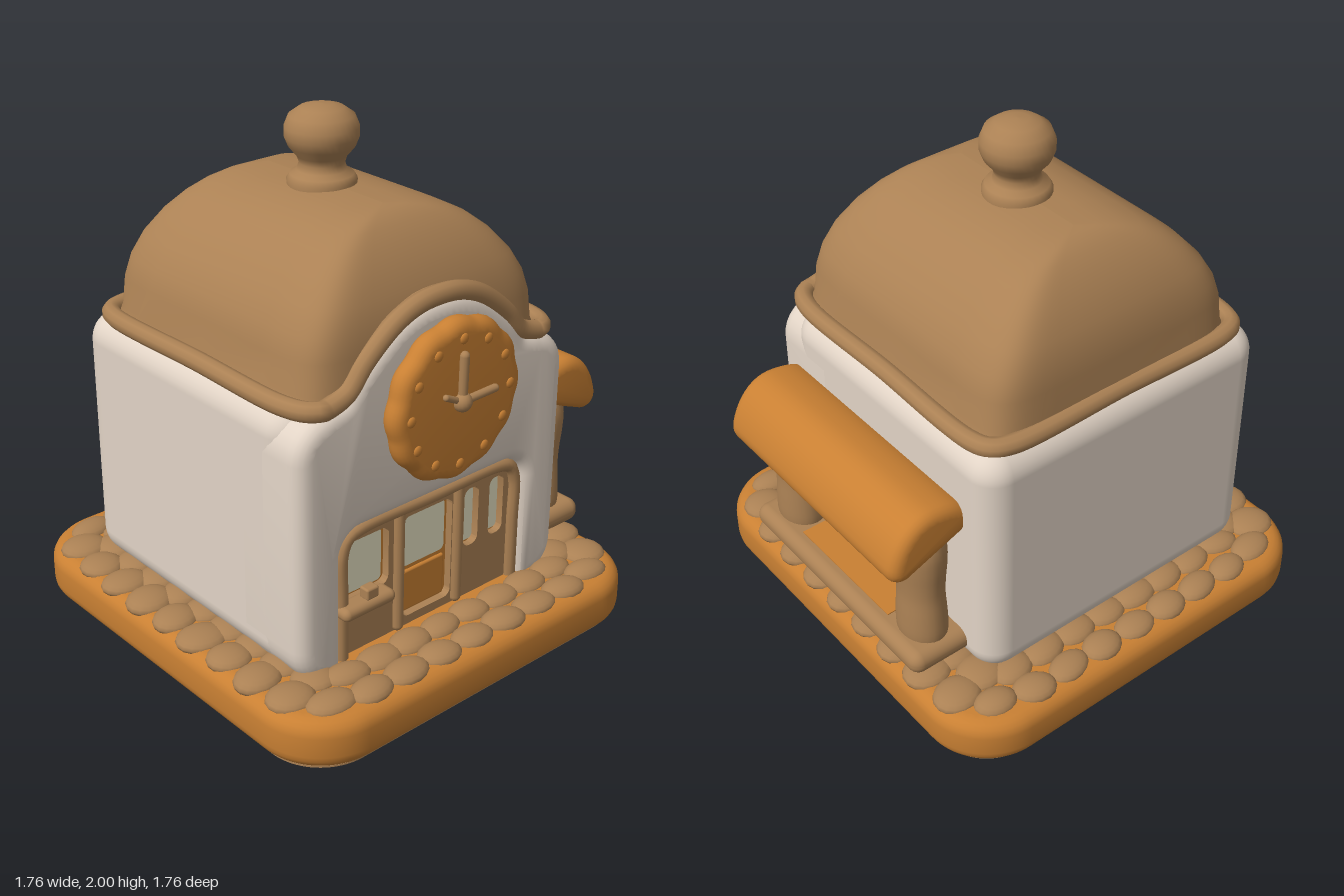
import * as THREE from 'three';
import { toCreasedNormals } from 'three/addons/utils/BufferGeometryUtils.js';
import { RoundedBoxGeometry } from 'three/addons/geometries/RoundedBoxGeometry.js';

const mat = (name, color) => new THREE.MeshStandardMaterial({ name, color });
const V = (x, y, z) => new THREE.Vector3(x, y, z);

// Rounded rectangle outline
function roundRect(x0, x1, y0, y1, r) {
  const s = new THREE.Shape();
  s.absarc(x1 - r, y0 + r, r, -Math.PI / 2, 0);
  s.absarc(x1 - r, y1 - r, r, 0, Math.PI / 2);
  s.absarc(x0 + r, y1 - r, r, Math.PI / 2, Math.PI);
  s.absarc(x0 + r, y0 + r, r, Math.PI, Math.PI * 1.5);
  s.closePath();
  return s;
}

// Extrusion between z0 and z1 with a round bevel growing outward
function extrude(shape, z0, z1, bevel = 0, curveSegments = 10) {
  const g = new THREE.ExtrudeGeometry(shape, {
    depth: z1 - z0 - 2 * bevel, bevelEnabled: bevel > 0, bevelSize: bevel,
    bevelThickness: bevel, bevelSegments: 5, curveSegments,
  });
  g.translate(0, 0, z0 + bevel);
  return toCreasedNormals(g, 0.7);
}

function box(x0, x1, y0, y1, z0, z1, r = 0) {
  const w = x1 - x0, h = y1 - y0, d = z1 - z0;
  const g = r ? new RoundedBoxGeometry(w, h, d, 5, r) : new THREE.BoxGeometry(w, h, d);
  return g.translate((x0 + x1) / 2, (y0 + y1) / 2, (z0 + z1) / 2);
}

// Round-ended bar between two points
function bar(a, b, r) {
  const dir = b.clone().sub(a);
  const g = new THREE.CapsuleGeometry(r, dir.length(), 5, 12);
  g.applyQuaternion(new THREE.Quaternion().setFromUnitVectors(V(0, 1, 0), dir.normalize()));
  const m = a.clone().add(b).multiplyScalar(0.5);
  return g.translate(m.x, m.y, m.z);
}

const tube = (pts, r, n, closed = false) =>
  new THREE.TubeGeometry(new THREE.CatmullRomCurve3(pts, closed), n, r, 10, closed);

// Loft of squarish rings [y, halfWidth, halfDepth]
function loft(rings, cx, cz, n = 72) {
  const pos = [], idx = [];
  const sq = (v) => Math.sign(v) * Math.pow(Math.abs(v), 0.25);
  for (const [y, a, b] of rings)
    for (let j = 0; j < n; j++) {
      const t = (j / n) * Math.PI * 2;
      pos.push(cx + a * sq(Math.cos(t)), y, cz + b * sq(Math.sin(t)));
    }
  for (let i = 0; i < rings.length - 1; i++)
    for (let j = 0; j < n; j++) {
      const k = (j + 1) % n, p = i * n, q = p + n;
      idx.push(p + j, q + j, p + k, q + j, q + k, p + k);
    }
  const g = new THREE.BufferGeometry();
  g.setAttribute('position', new THREE.Float32BufferAttribute(pos, 3));
  g.setIndex(idx);
  g.computeVertexNormals();
  return g;
}

export function createModel() {
  const root = new THREE.Group();
  root.name = 'clockHouse';
  const orange = mat('orange', 0xc98033), brown = mat('brown', 0xab8154);
  const wall = mat('plaster', 0xe2d4c6), glass = mat('paleGlass', 0xebe6c6);
  const add = (name, geo, m) => {
    const mesh = new THREE.Mesh(geo, m);
    mesh.name = name;
    root.add(mesh);
    return mesh;
  };
  const cx = -0.06;

  // Base slab with a brown underside
  const slab = extrude(roundRect(-0.82, 0.76, -0.82, 0.82, 0.2), 0.004, 0.2, 0.06);
  add('base', slab.rotateX(-Math.PI / 2), orange);
  const under = extrude(roundRect(-0.845, 0.785, -0.845, 0.845, 0.22), 0, 0.007);
  add('baseUnderside', under.rotateX(-Math.PI / 2), brown);

  // Cobbles in two rings, wider along x
  let seed = 7;
  const rand = () => (seed = (seed * 16807) % 2147483647) / 2147483647;
  for (const [inset, count] of [[0.1, 36], [0.22, 34]]) {
    const path = roundRect(-0.88 + inset, 0.82 - inset, -0.88 + inset, 0.88 - inset, 0.27 - inset);
    const pts = path.getSpacedPoints(count);
    for (let i = 0; i < count; i++) {
      const p = pts[i], q = pts[i + 1];
      const along = Math.abs(q.x - p.x) > Math.abs(q.y - p.y);
      const stone = add('cobble', new THREE.SphereGeometry(1, 16, 10), brown);
      stone.scale.set(0.085 + 0.015 * rand(), 0.035 + 0.006 * rand(), (along ? 0.062 : 0.08) + 0.008 * rand());
      stone.position.set((p.x + q.x) / 2, 0.195, (p.y + q.y) / 2);
      stone.rotation.y = (rand() - 0.5) * 0.5;
    }
  }

  // Walls
  add('walls', box(-0.7, 0.58, 0.18, 1.2, -0.66, 0.53, 0.11), wall);

  // Right half of the roof arch over the clock: [distance from centre, y]
  const arch = [[0.5, 1.2], [0.41, 1.23], [0.33, 1.32], [0.2, 1.42], [0.1, 1.46]];
  const archPts = [...arch, [0, 1.47], ...arch.map(([d, y]) => [-d, y]).reverse()];

  // Front wall with gable and doorway notch
  const f = new THREE.Shape();
  f.moveTo(0.44, 0.23);
  f.lineTo(0.47, 0.23);
  f.quadraticCurveTo(0.52, 0.24, 0.52, 0.31);
  f.lineTo(0.52, 1.03);
  f.quadraticCurveTo(0.52, 1.1, 0.45, 1.12);
  f.splineThru(archPts.map(([d, y]) => new THREE.Vector2(cx + d * 0.96, y - 0.07)));
  f.lineTo(-0.57, 1.12);
  f.quadraticCurveTo(-0.64, 1.1, -0.64, 1.03);
  f.lineTo(-0.64, 0.31);
  f.quadraticCurveTo(-0.64, 0.24, -0.59, 0.23);
  f.lineTo(-0.56, 0.23);
  f.lineTo(-0.56, 0.62);
  f.absarc(-0.41, 0.62, 0.15, Math.PI, Math.PI / 2, true);
  f.lineTo(0.29, 0.77);
  f.absarc(0.29, 0.62, 0.15, Math.PI / 2, 0, true);
  f.closePath();
  add('frontWall', extrude(f, 0.25, 0.61, 0.06, 6), wall);

  // Domed roof, arch hood, rolled eave
  add('roof', loft([
    [1.18, 0.585, 0.6], [1.23, 0.56, 0.592], [1.34, 0.548, 0.585], [1.42, 0.522, 0.573],
    [1.5, 0.475, 0.548], [1.58, 0.405, 0.505], [1.64, 0.33, 0.46], [1.68, 0.255, 0.42],
    [1.705, 0.17, 0.385], [1.717, 0.09, 0.35], [1.72, 0, 0.31],
  ], cx, -0.01), brown);
  const hood = new THREE.Shape();
  hood.moveTo(cx + 0.45, 1.19);
  hood.splineThru(archPts.slice(1, -1).map(([d, y]) => new THREE.Vector2(cx + d, y + 0.02)));
  hood.lineTo(cx - 0.45, 1.19);
  hood.closePath();
  add('clockHood', extrude(hood, 0.2, 0.575), brown);
  const hx = 0.585, zf = 0.58, zb = -0.6;
  const right = [
    [hx, 0], [hx, zf - 0.12], [hx - 0.03, zf - 0.03], [hx - 0.07, zf],
  ].map(([d, z]) => V(cx + d, 1.2, z));
  const back = [
    [-hx, 0], [-hx, zb + 0.1], [-hx + 0.03, zb + 0.03], [-hx + 0.1, zb], [0, zb],
    [hx - 0.1, zb], [hx - 0.03, zb + 0.03], [hx, zb + 0.1],
  ].map(([d, z]) => V(cx + d, 1.2, z));
  const left = right.slice(1).reverse().map((p) => V(2 * cx - p.x, p.y, p.z));
  const front = archPts.map(([d, y]) => V(cx + d, y, zf));
  add('eave', tube([...right, ...front, ...left, ...back], 0.036, 260, true), brown);

  // Roof knob
  const knob = [
    [0.125, 1.7], [0.127, 1.73], [0.115, 1.75], [0.09, 1.765], [0.082, 1.79], [0.09, 1.815],
    [0.12, 1.85], [0.134, 1.885], [0.134, 1.92], [0.118, 1.96], [0.08, 1.987], [0.04, 1.998], [0, 2],
  ].map(([r, y]) => new THREE.Vector2(r, y));
  add('roofKnob', new THREE.LatheGeometry(knob, 32).translate(cx, 0, -0.02), brown);

  // Clock with scalloped edge, low hour beads and hands
  const face = new THREE.Shape(Array.from({ length: 96 }, (_, i) => {
    const t = (i / 96) * Math.PI * 2, r = 0.253 + 0.005 * Math.cos(12 * t);
    return new THREE.Vector2(cx + r * Math.cos(t), 1.115 + r * Math.sin(t));
  }));
  add('clockFace', extrude(face, 0.615, 0.707, 0.044), orange);
  for (let i = 0; i < 12; i++) {
    const t = (i / 12) * Math.PI * 2;
    const bead = add('hourBead', new THREE.SphereGeometry(0.02, 12, 8), orange);
    bead.scale.z = 0.5;
    bead.position.set(cx + 0.235 * Math.cos(t), 1.115 + 0.235 * Math.sin(t), 0.706);
  }
  const hub = V(cx - 0.005, 1.12, 0.712);
  add('clockHub', new THREE.SphereGeometry(0.036, 16, 12).translate(hub.x, hub.y, hub.z), brown);
  add('minuteHand', bar(hub, V(cx - 0.003, 1.29, 0.715), 0.018), brown);
  add('hourHand', bar(hub, V(cx + 0.15, 1.125, 0.715), 0.015), brown);
  add('handTail', bar(hub, V(cx - 0.085, 1.16, 0.715), 0.012), brown);

  // Shop front
  add('shopBacking', box(-0.54, 0.42, 0.2, 0.74, 0.5, 0.54), orange);
  const panel = roundRect(-0.52, 0.4, 0.18, 0.73, 0.1);
  const openings = [[-0.468, -0.262, 0.42, 0.65], [-0.19, 0.05, 0.235, 0.65],
    [0.112, 0.186, 0.41, 0.65], [0.242, 0.316, 0.41, 0.65]];
  for (const o of openings) panel.holes.push(roundRect(...o, 0.03));
  add('shopPanel', extrude(panel, 0.53, 0.57), brown);
  for (const p of [[-0.458, -0.277, 0.43, 0.638], [-0.174, 0.034, 0.43, 0.638],
    [0.118, 0.18, 0.42, 0.642], [0.248, 0.31, 0.42, 0.642]])
    add('shopPane', extrude(roundRect(...p, 0.02), 0.538, 0.546), glass);
  add('doorPanel', box(-0.175, 0.035, 0.24, 0.41, 0.53, 0.55, 0.009), orange);
  add('shopFrame', tube([
    [-0.485, 0.2], [-0.485, 0.45], [-0.485, 0.62], [-0.46, 0.675], [-0.4, 0.695], [-0.06, 0.695],
    [0.28, 0.695], [0.34, 0.675], [0.365, 0.62], [0.365, 0.45], [0.365, 0.2],
  ].map(([x, y]) => V(x, y, 0.572)), 0.026, 80), brown);
  for (const x of [-0.215, 0.077]) add('mullion', bar(V(x, 0.22, 0.57), V(x, 0.68, 0.57), 0.023), brown);
  add('counter', box(-0.515, -0.275, 0.375, 0.425, 0.55, 0.635, 0.024), brown);
  add('counterBlock', box(-0.405, -0.35, 0.42, 0.465, 0.575, 0.62, 0.008), brown);

  // Side window
  add('sideWindowFrame', box(0.57, 0.584, 0.442, 0.76, -0.234, 0.234), orange);
  add('sidePane', box(0.581, 0.588, 0.451, 0.75, -0.228, 0.228), glass);

  // Porch ledge, posts and awning
  add('porchLedge', box(0.5, 0.81, 0.25, 0.345, -0.53, 0.54, 0.045), brown);
  add('porchFloor', box(0.57, 0.75, 0.342, 0.349, -0.28, 0.28), orange);
  const post = [[0.095, 0.32], [0.1, 0.37], [0.097, 0.45], [0.092, 0.53], [0.095, 0.6], [0.102, 0.68],
    [0.102, 0.76], [0.08, 0.85]].map(([r, y]) => new THREE.Vector2(r, y));
  for (const z of [0.4, -0.39]) {
    const p = add('porchPost', new THREE.LatheGeometry(new THREE.SplineCurve(post).getPoints(24), 24), brown);
    p.scale.set(0.88, 1, 1.08);
    p.position.set(0.675, 0, z);
  }
  const aw = new THREE.Shape();
  aw.moveTo(0.58, 0.87);
  aw.lineTo(0.82, 0.777);
  aw.quadraticCurveTo(0.837, 0.775, 0.832, 0.8);
  aw.bezierCurveTo(0.81, 0.88, 0.76, 0.936, 0.7, 0.934);
  aw.quadraticCurveTo(0.62, 0.93, 0.58, 0.9);
  aw.closePath();
  add('awning', extrude(aw, -0.52, 0.53, 0.046), orange);

  return root;
}
